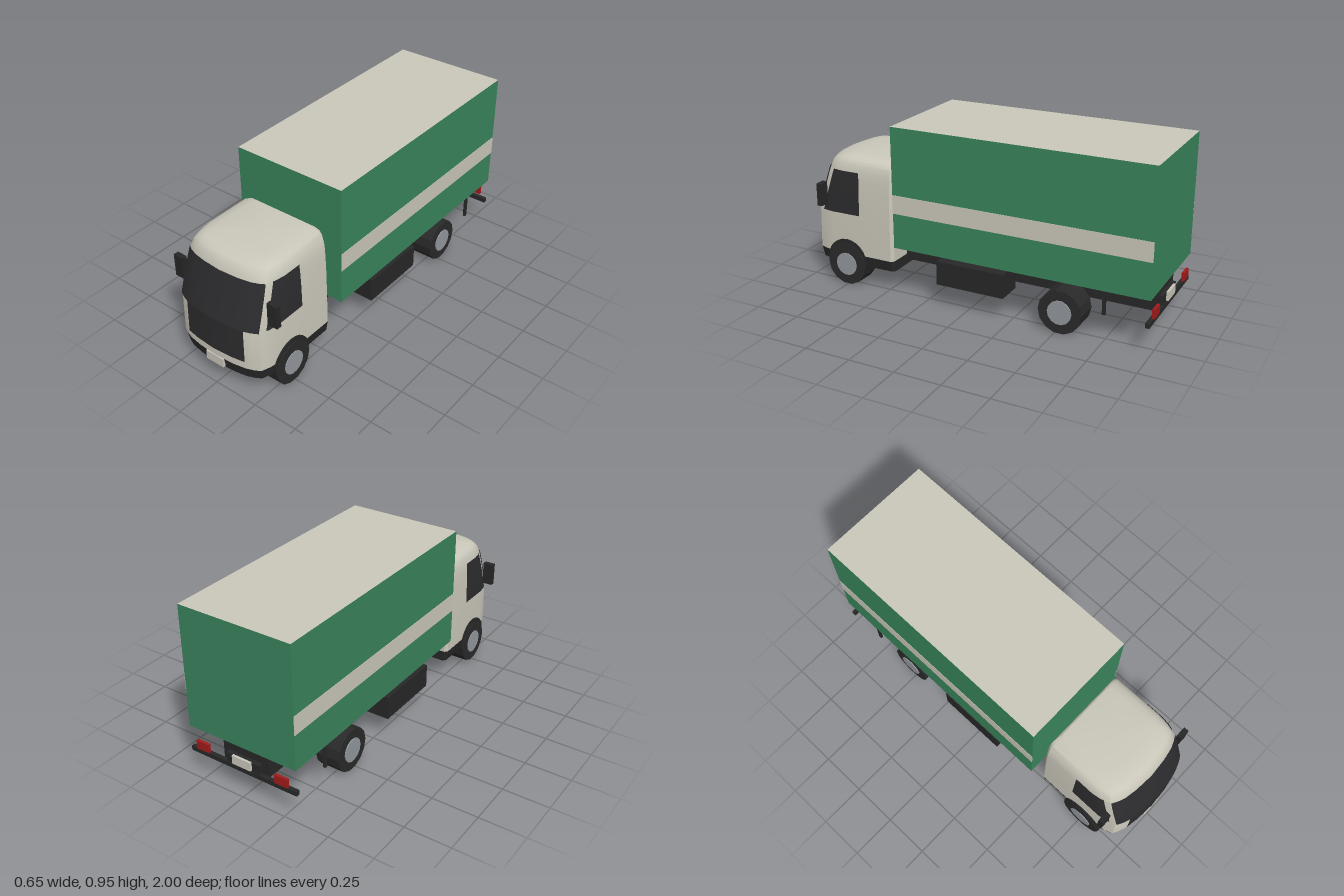
import * as THREE from 'three';
import { toCreasedNormals } from 'three/addons/utils/BufferGeometryUtils.js';

const mat = (name, color, extra = {}) => {
  const m = new THREE.MeshStandardMaterial({ color, ...extra });
  m.name = name;
  return m;
};

// Piecewise linear lookup in a list of [input, output] pairs
function lerpTable(table, v) {
  for (let i = 1; i < table.length; i++) {
    const [a, p] = table[i - 1], [b, q] = table[i];
    if (v <= b) return p + (q - p) * Math.max(0, (v - a) / (b - a));
  }
  return table[table.length - 1][1];
}

// Cab outline by height: y, half width, front z, back z, corner depth scale
const ROWS = [
  [0.12, 0.267, 0.985, 0.46, 1], [0.18, 0.276, 0.995, 0.46, 1], [0.225, 0.276, 0.995, 0.46, 1],
  [0.41, 0.273, 0.99, 0.46, 1], [0.53, 0.27, 0.953, 0.46, 1], [0.6, 0.266, 0.931, 0.46, 1],
  [0.65, 0.262, 0.915, 0.46, 1], [0.69, 0.25, 0.9, 0.46, 1], [0.71, 0.238, 0.882, 0.462, 1],
  [0.722, 0.215, 0.85, 0.466, 0.8], [0.73, 0.175, 0.785, 0.475, 0.5],
];
// How far the bowed front falls back: fraction of half width, depth
const BOW = [[0, 0], [0.4, 0.008], [0.655, 0.02], [0.8, 0.035], [0.91, 0.052], [0.97, 0.1], [1, 0.15]];
const BOW_INVERSE = BOW.map(([t, d]) => [d, t]);

function cabRing([y, w, f, back, s]) {
  const half = BOW.map(([t, d]) => [t * w, y, f - d * s]);
  const side = [...half, [w, y, back + 0.015], [w - 0.015, y, back]];
  const left = side.slice(1).reverse().map(([x, yy, z]) => [-x, yy, z]);
  return [...left, ...side];
}

// Skin between rows of points, with optional caps on closed rings
function skin(rows, { closed = false, top = false, bottom = false } = {}) {
  const pos = [];
  const tri = (...pts) => pts.forEach((p) => pos.push(...p));
  const n = rows[0].length;
  for (let r = 0; r < rows.length - 1; r++) {
    for (let i = 0; i < (closed ? n : n - 1); i++) {
      const j = (i + 1) % n, a = rows[r], b = rows[r + 1];
      tri(a[i], a[j], b[j]);
      tri(a[i], b[j], b[i]);
    }
  }
  const cap = (ring, up) => {
    const c = [0, ring[0][1], 0.65];
    ring.forEach((p, i) => {
      const q = ring[(i + 1) % n];
      up ? tri(p, q, c) : tri(q, p, c);
    });
  };
  if (top) cap(rows[rows.length - 1], true);
  if (bottom) cap(rows[0], false);
  const g = new THREE.BufferGeometry();
  g.setAttribute('position', new THREE.Float32BufferAttribute(pos, 3));
  return toCreasedNormals(g, 0.7);
}

export function createModel() {
  const truck = new THREE.Group();
  truck.name = 'boxTruck';
  const cream = mat('cream paint', 0xcac7ba);
  const green = mat('green paint', 0x39845c);
  const dark = mat('dark trim', 0x272728);
  const glass = mat('dark glass', 0x2c2c2e, { side: THREE.DoubleSide });
  const rubber = mat('tyre rubber', 0x29292a);
  rubber.flatShading = true;
  const steel = mat('wheel steel', 0x92979d);
  const red = mat('red lamp', 0xa31a1a);

  const add = (name, geo, material, x = 0, y = 0, z = 0) => {
    const m = new THREE.Mesh(geo, material);
    m.name = name;
    m.position.set(x, y, z);
    truck.add(m);
    return m;
  };
  // Box given by its limits on each axis
  const box = (name, material, x0, x1, y0, y1, z0, z1) =>
    add(name, new THREE.BoxGeometry(x1 - x0, y1 - y0, z1 - z0), material,
      (x0 + x1) / 2, (y0 + y1) / 2, (z0 + z1) / 2);
  const pair = (name, material, x0, x1, ...rest) => {
    box(name + 'Left', material, x0, x1, ...rest);
    box(name + 'Right', material, -x1, -x0, ...rest);
  };

  // Cargo body: sides and ends green, roof cream, floor dark
  add('cargoBody', new THREE.BoxGeometry(0.64, 0.66, 1.41),
    [green, green, cream, dark, green, green], 0, 0.62, -0.285);
  pair('sideStripe', cream, 0.318, 0.322, 0.483, 0.585, -0.99, 0.42);

  // Cab shell above a dark skirt
  const rings = ROWS.map(cabRing);
  add('cabShell', skin(rings.slice(1), { closed: true, top: true }), cream);
  add('cabSkirt', skin(rings.slice(0, 2), { closed: true, bottom: true }), dark);

  // Windscreen and grille follow the bowed front
  const frontPanel = (name, rows, limit) => {
    const ts = BOW.map(([t]) => t).filter((t) => t <= limit);
    const all = [...ts.slice(1).reverse().map((t) => -t), ...ts];
    add(name, skin(rows.map(([y, w, f]) =>
      all.map((t) => [t * w * 1.006, y, f - lerpTable(BOW, Math.abs(t)) + 0.005]))), glass);
  };
  frontPanel('windscreen', ROWS.slice(3, 7), 0.91);
  frontPanel('grille', ROWS.slice(2, 4), 0.655);

  // Side windows with a raked front edge
  for (const s of [1, -1]) {
    const rows = ROWS.slice(3, 7).map(([y, w, f]) =>
      [f - 0.083, f - 0.1, f - 0.15, 0.665].map((z) =>
        [s * (w * lerpTable(BOW_INVERSE, f - z) + 0.004), y, z]));
    if (s < 0) rows.forEach((r) => r.reverse());
    add(s > 0 ? 'sideWindowLeft' : 'sideWindowRight', skin(rows), glass);
  }
  pair('mirror', dark, 0.268, 0.326, 0.45, 0.575, 0.872, 0.9);
  box('frontPlate', cream, -0.055, 0.055, 0.13, 0.182, 0.985, 0.999);

  // Chassis, side lockers and rear posts
  box('chassis', dark, -0.135, 0.135, 0.15, 0.287, -0.96, 0.47);
  pair('sideLocker', dark, 0.17, 0.32, 0.132, 0.262, -0.22, 0.165);
  pair('rearPost', dark, 0.305, 0.319, 0.165, 0.291, -0.766, -0.75);

  // Rear bar, lamps and plate
  box('rearBar', dark, -0.32, 0.32, 0.145, 0.17, -0.99, -0.968);
  box('rearBarMount', dark, -0.1, 0.1, 0.15, 0.22, -0.985, -0.955);
  pair('tailLamp', red, 0.2, 0.275, 0.178, 0.226, -1, -0.985);
  box('rearPlate', cream, -0.055, 0.055, 0.178, 0.226, -0.998, -0.985);

  // Wheels: front singles under round arches, wide rear pairs
  const disc = (name, material, r, x0, x1, y, z, sides) => {
    const g = new THREE.CylinderGeometry(r, r, Math.abs(x1 - x0), sides).rotateZ(Math.PI / 2);
    add(name, g, material, (x0 + x1) / 2, y, z);
  };
  for (const s of [1, -1]) {
    const side = s > 0 ? 'Left' : 'Right';
    disc('wheelArch' + side, dark, 0.122, s * 0.19, s * 0.283, 0.14, 0.755, 24);
    disc('frontTyre' + side, rubber, 0.119, s * 0.175, s * 0.288, 0.119, 0.755, 14);
    disc('frontHub' + side, steel, 0.065, s * 0.25, s * 0.293, 0.119, 0.755, 14);
    disc('rearTyre' + side, rubber, 0.117, s * 0.172, s * 0.307, 0.119, -0.525, 14);
    disc('rearHub' + side, steel, 0.065, s * 0.25, s * 0.313, 0.119, -0.525, 14);
  }
  return truck;
}
